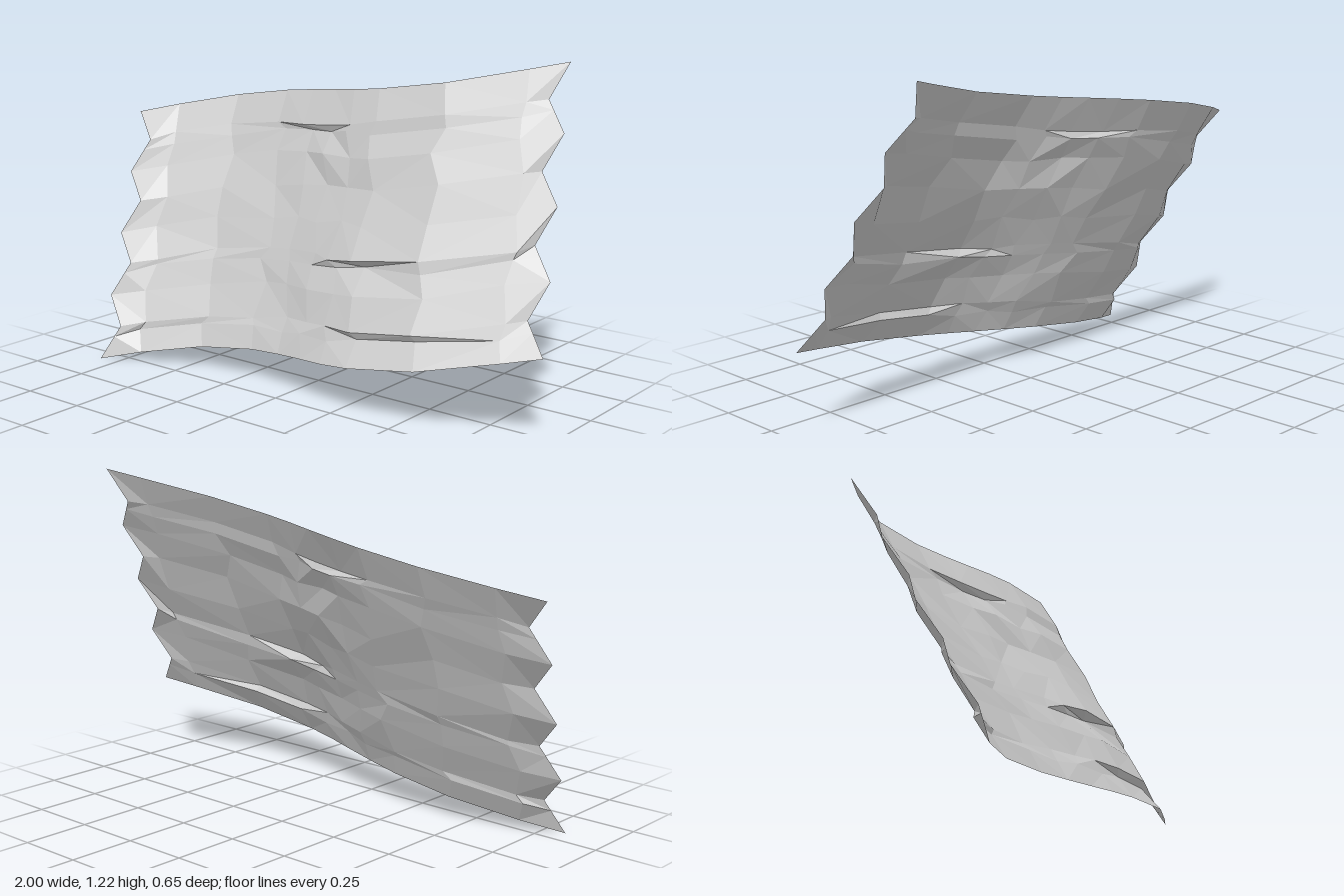
import * as THREE from 'three';

// Straight frame of the leaning sheet: centre, long side, short side, bulge direction
const CENTRE = new THREE.Vector3(0, 0.61, 0);
const LONG = new THREE.Vector3(1.83, 0.31, -0.23);
const SHORT = new THREE.Vector3(-0.17, 0.91, -0.42);
const BULGE = new THREE.Vector3(0, -0.18, 1);

// Columns along the sheet, with the height of the S-shaped wave at each
const COLUMNS = [
  [0, 0], [0.08, -0.058], [0.215, -0.108], [0.35, -0.083], [0.43, -0.04], [0.5, 0.004],
  [0.56, 0.045], [0.63, 0.08], [0.78, 0.105], [0.93, 0.038], [1, 0],
];
// Rows up the sheet; the close pairs form sharp creases
const ROWS = [0, 0.085, 0.125, 0.25, 0.335, 0.375, 0.5, 0.625, 0.75, 0.835, 0.875, 1];

// Creases: row, start and end along the sheet, depth
const CREASES = [
  [0.085, 0.55, 0.95, -0.03], [0.125, 0.55, 0.95, 0.006],
  [0.335, 0.5, 0.79, -0.02], [0.375, 0.48, 0.82, 0.012],
  [0.835, 0.4, 0.8, -0.012], [0.875, 0.38, 0.8, 0.006],
  [0.625, 0.38, 0.6, -0.012],
];

function seeded(seed) {
  return () => {
    seed = (seed * 16807) % 2147483647;
    return (seed / 2147483647) * 2 - 1;
  };
}

// Triangle wave giving four teeth over the height
const tooth = (v) => 1 - Math.abs(((v * 8) % 2) - 1);

function creaseDepth(u, v) {
  let depth = 0;
  for (const [row, from, to, size] of CREASES) {
    if (row === v && u > from && u < to) {
      depth += size * Math.sin((Math.PI * (u - from)) / (to - from));
    }
  }
  return depth;
}

function createSheet() {
  const noise = seeded(4217);
  const positions = [];
  const index = [];
  const nc = COLUMNS.length;
  const last = nc - 1;

  ROWS.forEach((v, r) => {
    COLUMNS.forEach(([u0, wave], c) => {
      const inner = r > 0 && r < ROWS.length - 1 && c > 0 && c < last;
      let u = u0;
      let dv = 0;
      let lift = wave;
      // Zigzag cut ends
      if (c === 0) u += 0.04 * tooth(v);
      if (c === last) u -= 0.036 * tooth(v);
      if (c === 0 || c === last) lift += 0.25 * wave;
      // Crumpled interior
      if (inner) {
        const middle = Math.sin(Math.PI * u0);
        u += 0.014 * noise();
        dv = 0.012 * noise();
        lift += (0.004 + 0.006 * middle) * noise() + creaseDepth(u0, v);
      }
      const p = CENTRE.clone()
        .addScaledVector(LONG, u - 0.5)
        .addScaledVector(SHORT, v + dv - 0.5)
        .addScaledVector(BULGE, lift);
      positions.push(p.x, p.y, p.z);
    });
  });

  // Two triangles per cell, diagonals varied for an irregular crumple
  for (let r = 0; r < ROWS.length - 1; r++) {
    for (let c = 0; c < last; c++) {
      const a = r * nc + c, b = a + 1, d = a + nc, e = d + 1;
      if (noise() > 0) index.push(a, b, e, a, e, d);
      else index.push(a, b, d, b, e, d);
    }
  }

  const geometry = new THREE.BufferGeometry();
  geometry.setAttribute('position', new THREE.Float32BufferAttribute(positions, 3));
  geometry.setIndex(index);
  const flat = geometry.toNonIndexed();
  flat.computeVertexNormals();
  return flat;
}

export function createModel() {
  const group = new THREE.Group();
  group.name = 'crumpledWrapper';
  const material = new THREE.MeshStandardMaterial({
    color: 0xcccccc, flatShading: true, side: THREE.DoubleSide,
  });
  const sheet = new THREE.Mesh(createSheet(), material);
  sheet.name = 'wrapperSheet';
  group.add(sheet);
  return group;
}
